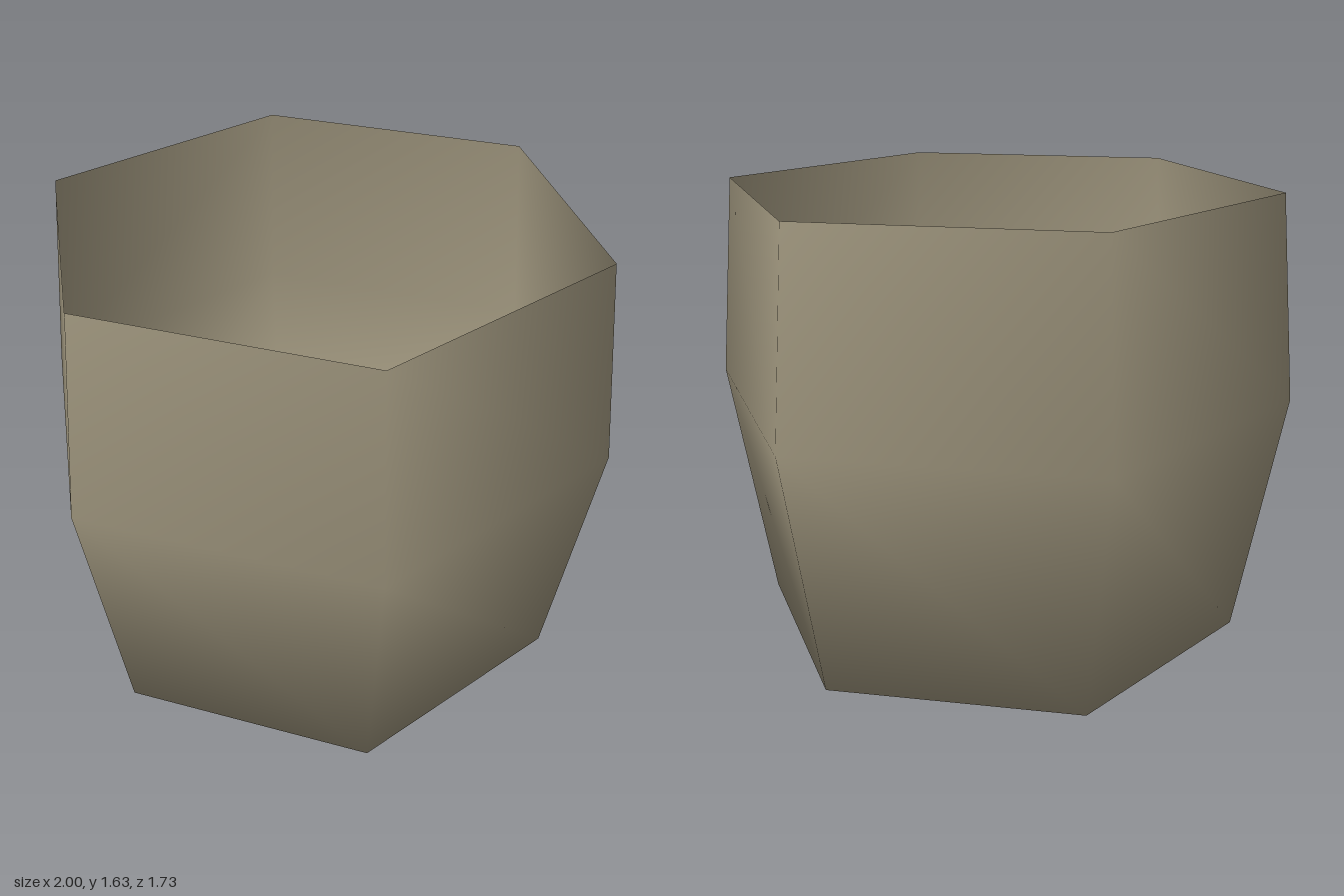
import * as THREE from 'three';

export function createModel() {
  const group = new THREE.Group();
  group.name = 'hexagonalPot';

  const clay = new THREE.MeshStandardMaterial({ color: 0x9e957d, side: THREE.DoubleSide });
  clay.name = 'clay';

  // Open six-sided shell: shallow pointed base, belly, slightly narrower rim
  const profile = [[0, 0], [0.845, 0.1], [1, 0.94], [0.94, 1.63]]
    .map(([r, y]) => new THREE.Vector2(r, y));

  // Starting at a quarter turn puts corners on the x axis and flats front and back
  const shell = new THREE.Mesh(new THREE.LatheGeometry(profile, 6, Math.PI / 2), clay);
  shell.name = 'potShell';
  group.add(shell);

  return group;
}
